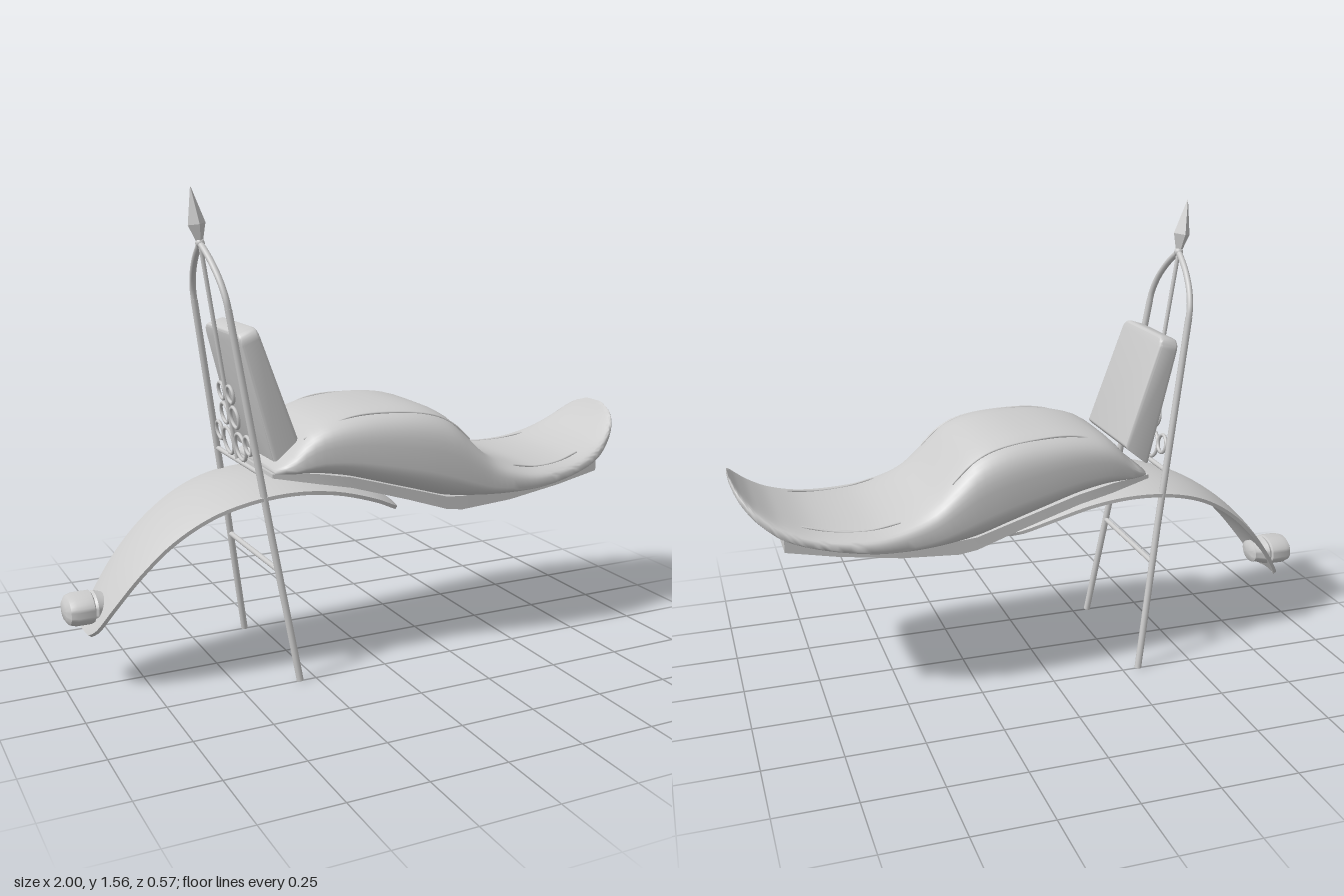
import * as THREE from 'three';
import { toCreasedNormals } from 'three/addons/utils/BufferGeometryUtils.js';

const grey = new THREE.MeshStandardMaterial({ color: 0xcccccc });
grey.name = 'plainGrey';

const V = (x, y, z) => new THREE.Vector3(x, y, z);

function add(parent, name, geo) {
  const mesh = new THREE.Mesh(geo, grey);
  mesh.name = name;
  parent.add(mesh);
  return mesh;
}

// Smooth interpolation through rows of [x, ...values], by the first column
function sampler(rows) {
  return (x) => {
    let i = 0;
    while (i < rows.length - 2 && x > rows[i + 1][0]) i++;
    const row = (k) => rows[Math.max(0, Math.min(rows.length - 1, k))];
    const a = row(i), b = row(i + 1), p = row(i - 1), n = row(i + 2);
    const h = b[0] - a[0], t = Math.max(0, Math.min(1, (x - a[0]) / h));
    return a.map((_, c) => {
      const m0 = (b[c] - p[c]) / (b[0] - p[0]) * h;
      const m1 = (n[c] - a[c]) / (n[0] - a[0]) * h;
      const t2 = t * t, t3 = t2 * t;
      return (2 * t3 - 3 * t2 + 1) * a[c] + (t3 - 2 * t2 + t) * m0
        + (3 * t2 - 2 * t3) * b[c] + (t3 - t2) * m1;
    });
  };
}

// Closed solid through rings that run from +z over +y, stacked towards +x
function loft(rings, crease = 0.8) {
  const n = rings[0].length, pos = [], idx = [];
  rings.forEach((r) => r.forEach((p) => pos.push(p.x, p.y, p.z)));
  for (let i = 0; i < rings.length - 1; i++) {
    for (let j = 0; j < n; j++) {
      const a = i * n + j, b = i * n + (j + 1) % n;
      idx.push(a, a + n, b, b, a + n, b + n);
    }
  }
  [0, rings.length - 1].forEach((i) => {
    const c = rings[i].reduce((s, p) => s.add(p), V(0, 0, 0)).divideScalar(n);
    const k = pos.length / 3;
    pos.push(c.x, c.y, c.z);
    for (let j = 0; j < n; j++) {
      const a = i * n + j, b = i * n + (j + 1) % n;
      idx.push(k, i ? b : a, i ? a : b);
    }
  });
  const g = new THREE.BufferGeometry();
  g.setAttribute('position', new THREE.Float32BufferAttribute(pos, 3));
  g.setIndex(idx);
  return toCreasedNormals(g, crease);
}

const tube = (pts, r, seg = 24) =>
  new THREE.TubeGeometry(new THREE.CatmullRomCurve3(pts), seg, r, 10);

function rod(parent, name, a, b, r) {
  const m = add(parent, name, new THREE.CylinderGeometry(r, r, a.distanceTo(b), 12));
  m.position.copy(a).lerp(b, 0.5);
  m.quaternion.setFromUnitVectors(V(0, 1, 0), b.clone().sub(a).normalize());
}

// Seat stations: x, half width, top, bottom
const seatAt = sampler([
  [-0.35, 0.17, 0.69, 0.668], [-0.3, 0.2, 0.725, 0.662], [-0.25, 0.215, 0.785, 0.655],
  [-0.2, 0.225, 0.822, 0.65], [-0.1, 0.24, 0.85, 0.63], [0.02, 0.256, 0.86, 0.595],
  [0.15, 0.27, 0.853, 0.556], [0.25, 0.277, 0.82, 0.527], [0.32, 0.28, 0.755, 0.52],
  [0.4, 0.282, 0.678, 0.52], [0.5, 0.286, 0.632, 0.525], [0.6, 0.284, 0.612, 0.535],
  [0.75, 0.255, 0.618, 0.56], [0.86, 0.222, 0.652, 0.592], [0.93, 0.185, 0.695, 0.642],
  [0.97, 0.15, 0.732, 0.688], [0.99, 0.11, 0.756, 0.722], [1, 0.06, 0.77, 0.745],
]);
const seatMid = (top, bot) => bot + (top - bot) * 0.32;

function seatTop(x, z) {
  const [, w, top, bot] = seatAt(x), mid = seatMid(top, bot);
  return mid + (top - mid) * Math.pow(Math.max(0, 1 - Math.pow(Math.abs(z) / w, 4)), 0.25);
}

function seatRing(x) {
  const [, w, top, bot] = seatAt(x), mid = seatMid(top, bot);
  return Array.from({ length: 48 }, (_, j) => {
    const t = j / 48 * Math.PI * 2, c = Math.cos(t), s = Math.sin(t);
    const e = s >= 0 ? 0.5 : 0.75;
    return V(x, mid + (s >= 0 ? top - mid : mid - bot) * Math.sign(s) * Math.abs(s) ** e,
      w * Math.sign(c) * Math.abs(c) ** e);
  });
}

export function createModel() {
  const model = new THREE.Group();
  model.name = 'customSeatAndFender';

  // Cushion
  const seat = new THREE.Group();
  seat.name = 'seat';
  model.add(seat);
  const xs = Array.from({ length: 71 }, (_, i) => -0.35 + 1.35 * Math.sin(i / 70 * Math.PI / 2 ) ** 1);
  add(seat, 'cushion', loft(xs.map(seatRing), 1.2));

  // Seat pan: x, half width, bottom, top
  const pan = [[-0.36, 0.17, 0.662, 0.675], [-0.22, 0.2, 0.635, 0.668], [-0.1, 0.208, 0.61, 0.645],
    [0.1, 0.212, 0.548, 0.585], [0.25, 0.215, 0.497, 0.54], [0.31, 0.215, 0.488, 0.535],
    [0.5, 0.215, 0.5, 0.54], [0.7, 0.213, 0.53, 0.565], [0.86, 0.21, 0.562, 0.604]];
  add(seat, 'seatPan', loft(pan.map(([x, w, b, t]) =>
    [V(x, b, w), V(x, t, w), V(x, t, -w), V(x, b, -w)]), 0.5));

  // Stitched welts
  for (const s of [-1, 1]) {
    const seams = [['rearSeam', [[-0.25, 0.165], [-0.1, 0.182], [0.05, 0.197], [0.2, 0.21], [0.27, 0.215], [0.33, 0.217]]],
      ['frontSeam', [[0.5, 0.225], [0.6, 0.217], [0.7, 0.2], [0.8, 0.175]]]];
    for (const [name, pts] of seams) {
      add(seat, name, tube(pts.map(([x, z]) => V(x, seatTop(x, z), s * z)), 0.004, 40));
    }
  }

  // Curved fender: x, centre height, half width
  const fender = [[-0.94, 0.2, 0.055], [-0.925, 0.225, 0.085], [-0.88, 0.3, 0.115], [-0.8, 0.408, 0.142],
    [-0.7, 0.507, 0.162], [-0.58, 0.585, 0.185], [-0.45, 0.63, 0.205], [-0.3, 0.645, 0.212],
    [-0.15, 0.628, 0.208], [0, 0.58, 0.19], [0.09, 0.532, 0.15], [0.13, 0.503, 0.1], [0.145, 0.49, 0.05]];
  const path = new THREE.CatmullRomCurve3(fender.map(([x, y, w]) => V(x, y, w)));
  add(model, 'fender', loft(Array.from({ length: 61 }, (_, i) => {
    const p = path.getPoint(i / 60), t = path.getTangent(i / 60);
    const n = V(-t.y, t.x, 0).normalize(), ring = [];
    for (const side of [1, -1]) {
      for (let j = 0; j <= 14; j++) {
        const u = side * (1 - j / 7);
        const drop = -0.025 * u * u * (p.z / 0.21) - (side < 0 ? 0.012 : 0);
        ring.push(V(p.x + n.x * drop, p.y + n.y * drop, p.z * u));
      }
    }
    return ring;
  }), 0.7));

  // Backrest: rounded slab, bent to its leaning, tapering side outline
  const slab = new THREE.Shape();
  const r = 0.03;
  slab.moveTo(-0.165, 0.01).lineTo(0.165, 0.01).lineTo(0.155, 0.41 - r)
    .quadraticCurveTo(0.154, 0.41, 0.154 - r, 0.41).lineTo(-0.154 + r, 0.41)
    .quadraticCurveTo(-0.154, 0.41, -0.155, 0.41 - r).closePath();
  let rest = new THREE.ExtrudeGeometry(slab, {
    depth: 0.05, bevelSize: 0.01, bevelThickness: 0.01, bevelSegments: 3, curveSegments: 8 });
  const at = rest.attributes.position;
  for (let i = 0; i < at.count; i++) {
    const v = at.getY(i) / 0.42, u = (at.getZ(i) + 0.01) / 0.07;
    const rear = V(-0.355, 0.71, 0).lerp(V(-0.462, 1.122, 0), v);
    const front = V(-0.27, 0.78, 0).lerp(V(-0.4, 1.142, 0), v);
    rear.lerp(front, u);
    at.setXYZ(i, rear.x, rear.y, -at.getX(i));
  }
  rest.deleteAttribute('normal');
  rest.deleteAttribute('uv');
  add(model, 'backrest', toCreasedNormals(rest, 0.7));

  // Sissy bar, lying in one leaning plane
  const bar = new THREE.Group();
  bar.name = 'backBar';
  model.add(bar);
  const lean = (y, z) => V(-0.305 - 0.155 * y, y, z);
  for (const s of [-1, 1]) {
    rod(bar, 'barLeg', lean(0.005, 0.25 * s), lean(0.5, 0.205 * s), 0.0115);
    rod(bar, 'barUpright', lean(0.5, 0.205 * s), lean(1.2, 0.16 * s), 0.0115);
    add(bar, 'barArch', tube([[1.19, 0.161], [1.23, 0.155], [1.28, 0.13], [1.33, 0.085],
      [1.365, 0.04], [1.39, 0]].map(([y, z]) => lean(y, z * s)), 0.0105));
    // Ornamental rings behind the backrest
    for (const [y, z, rad] of [[0.745, 0.055, 0.044], [0.84, 0.045, 0.034], [0.915, 0.04, 0.028], [0.765, 0.13, 0.03]]) {
      const ring = add(bar, 'scrollRing', new THREE.TorusGeometry(rad, 0.006, 8, 24));
      ring.position.copy(lean(y, z * s));
      ring.rotation.set(0, Math.PI / 2, Math.atan(0.155), 'ZYX');
    }
  }
  rod(bar, 'centreRod', lean(0.69, 0), lean(1.39, 0), 0.007);
  rod(bar, 'lowerCrossbar', lean(0.375, -0.21), lean(0.375, 0.21), 0.009);
  rod(bar, 'upperCrossbar', lean(0.69, -0.19), lean(0.69, 0.19), 0.008);

  // Spear finial
  const finial = new THREE.Group();
  finial.name = 'finial';
  finial.position.copy(lean(1.39, 0));
  finial.rotation.z = Math.atan(0.155);
  bar.add(finial);
  add(finial, 'collar', new THREE.SphereGeometry(0.015, 14, 10));
  const spear = new THREE.LatheGeometry([[0, 0], [0.011, 0.005], [0.029, 0.06], [0.001, 0.174]]
    .map(([a, b]) => new THREE.Vector2(a, b)), 4);
  add(finial, 'spearPoint', toCreasedNormals(spear, 0.1));

  // Tail lamp, an oval turned body along x
  const lampProfile = [[0, 0], [0.025, 0.003], [0.037, 0.01], [0.037, 0.02], [0.049, 0.06], [0.045, 0.068],
    [0.051, 0.072], [0.051, 0.125], [0.045, 0.145], [0.03, 0.156], [0, 0.16]];
  const lamp = add(model, 'tailLamp', toCreasedNormals(new THREE.LatheGeometry(
    lampProfile.map(([a, b]) => new THREE.Vector2(a, b)), 32), 0.6));
  lamp.rotation.z = Math.PI / 2;
  lamp.scale.z = 1.4;
  lamp.position.set(-0.84, 0.27, 0);

  return model;
}
